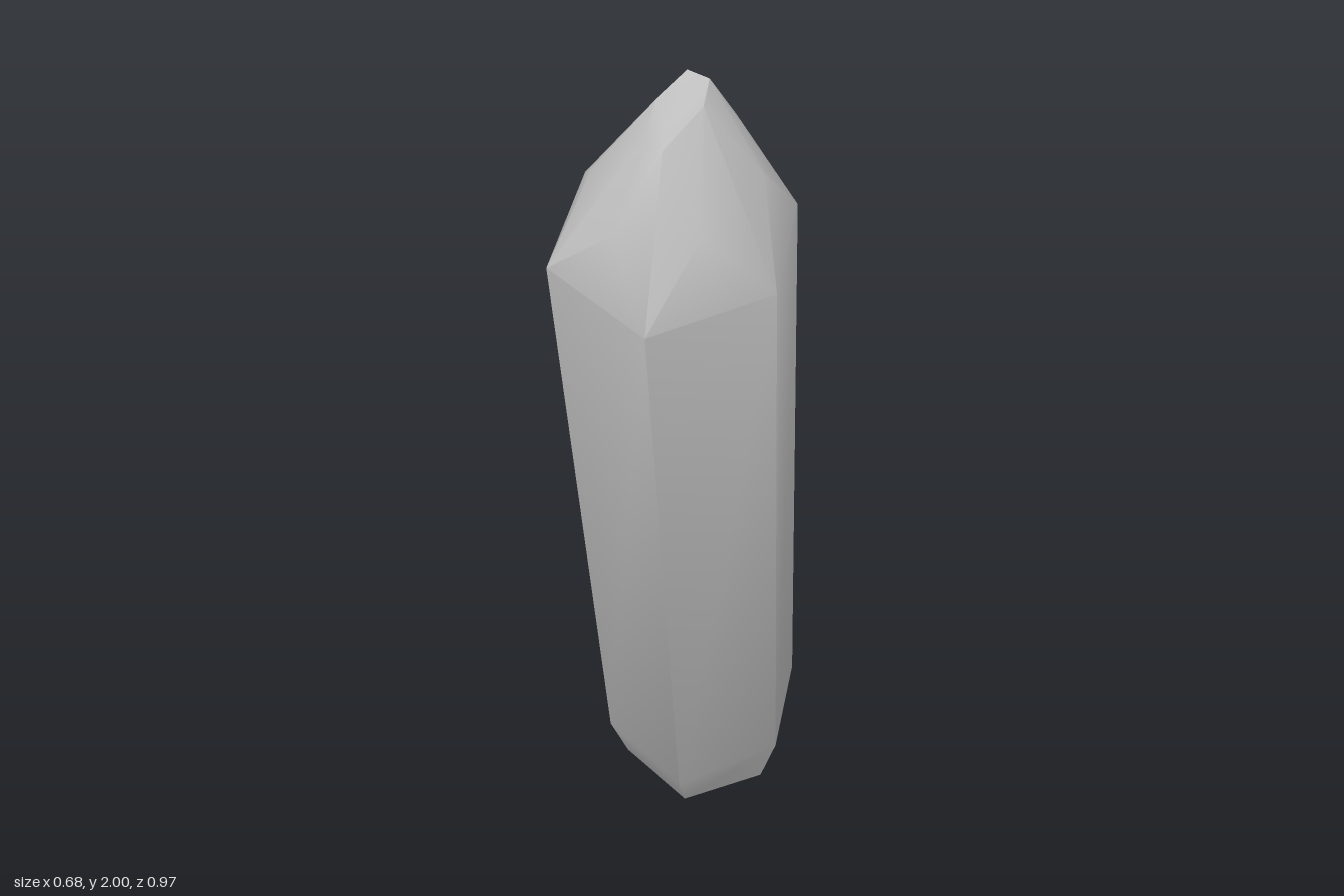
import * as THREE from 'three';
import { toCreasedNormals } from 'three/addons/utils/BufferGeometryUtils.js';

// Six-sided cross-sections, from foot to tip, counterclockwise from above
const RINGS = [
  [[0.06, 0, -0.2], [0.24, 0.03, -0.19], [0.33, 0.1, -0.32], [0.24, 0.15, -0.48], [0.06, 0.12, -0.485], [-0.03, 0.05, -0.35]],
  [[0.01, 0.15, -0.09], [0.235, 0.2, -0.09], [0.338, 0.27, -0.26], [0.235, 0.33, -0.45], [0.015, 0.28, -0.45], [-0.09, 0.2, -0.28]],
  [[-0.23, 1.6, 0.465], [-0.015, 1.65, 0.48], [0.08, 1.72, 0.32], [-0.02, 1.78, 0.145], [-0.225, 1.74, 0.13], [-0.34, 1.66, 0.295]],
  [[-0.19, 1.9, 0.44], [-0.13, 1.97, 0.455], [-0.11, 2, 0.425], [-0.13, 2, 0.38], [-0.175, 1.95, 0.36], [-0.2, 1.91, 0.39]],
].map(ring => ring.map(p => new THREE.Vector3(...p)));

const average = points => points.reduce((sum, p) => sum.add(p), new THREE.Vector3()).divideScalar(points.length);

function buildGeometry(triangles, crease) {
  const geometry = new THREE.BufferGeometry().setFromPoints(triangles);
  return toCreasedNormals(geometry, crease);
}

export function createModel() {
  const group = new THREE.Group();
  group.name = 'crystal';
  const stone = new THREE.MeshStandardMaterial({ color: 0xc8c8c8 });
  stone.name = 'grey stone';

  const [foot, low, high, tip] = RINGS;
  const shell = [];
  const base = [];
  const axis = average([...high, ...tip]);

  for (let i = 0; i < 6; i++) {
    const j = (i + 1) % 6;
    // Long prism sides and the tapered foot
    for (const [a, b] of [[foot, low], [low, high]]) {
      shell.push(a[i], a[j], b[j], a[i], b[j], b[i]);
    }
    // Pointed end: each side bulges slightly at its middle
    const corners = [high[i], high[j], tip[j], tip[i]];
    const middle = average(corners);
    const outward = middle.clone().sub(axis).normalize();
    middle.addScaledVector(outward, 0.025);
    corners.forEach((p, k) => shell.push(p, corners[(k + 1) % 4], middle));
    // Small facet on the tip and the flat base
    if (i > 0 && i < 5) {
      shell.push(tip[0], tip[i], tip[j]);
      base.push(foot[0], foot[j], foot[i]);
    }
  }

  const body = new THREE.Mesh(buildGeometry(shell, 0.65), stone);
  body.name = 'crystalBody';
  const bottom = new THREE.Mesh(buildGeometry(base, 0.65), stone);
  bottom.name = 'crystalBase';
  group.add(body, bottom);
  return group;
}
